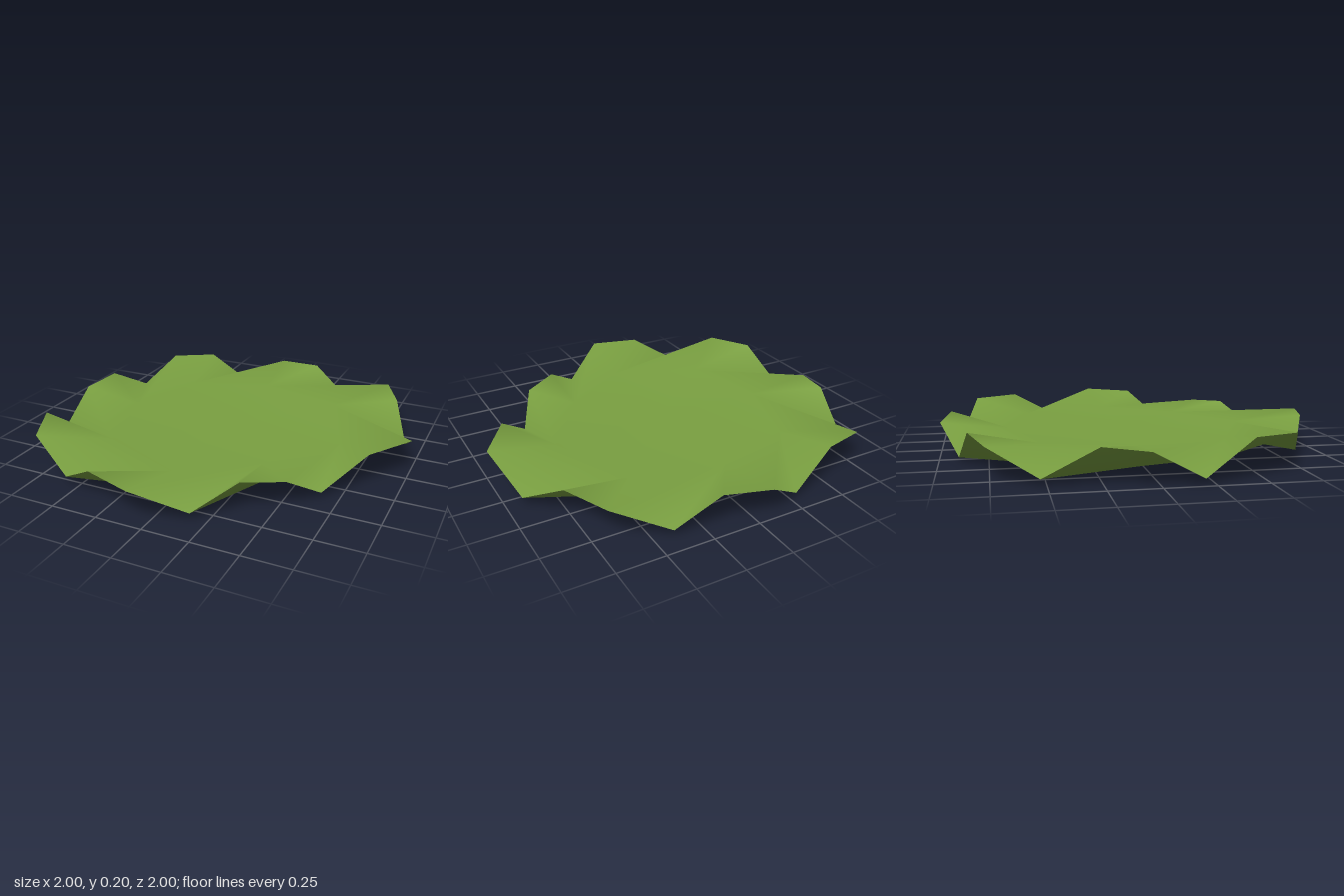
import * as THREE from 'three';

// Rim of the leaf, anticlockwise from above, in groups of three:
// corner (raised), dip (low), crest (raised)
const RIM = [
  [1.0, 0.19, -0.06], [0.92, 0.04, -0.32], [0.8, 0.19, -0.57],
  [0.69, 0.185, -0.81], [0.4, 0.03, -0.89], [0.18, 0.185, -0.95],
  [-0.07, 0.165, -1.0], [-0.29, 0.02, -0.9], [-0.53, 0.19, -0.85],
  [-0.78, 0.17, -0.77], [-0.88, 0.035, -0.53], [-0.95, 0.185, -0.27],
  [-1.0, 0.165, -0.05], [-0.98, 0.03, 0.2], [-0.93, 0.2, 0.45],
  [-0.81, 0.19, 0.7], [-0.56, 0.05, 0.8], [-0.33, 0.19, 0.92],
  [-0.07, 0.185, 1.0], [0.17, 0.04, 0.84], [0.36, 0.175, 0.69],
  [0.55, 0.16, 0.57], [0.66, 0.025, 0.37], [0.84, 0.19, 0.19],
];
const INNER = 0.63; // where the folds begin, as a share of the corner radius

// One skin of the leaf: 24 rim points, 8 inner points and a centre
function leafSkin(name, material, ringY, centreY, facesDown) {
  const n = RIM.length, sectors = n / 3, centre = n + sectors;
  const points = [...RIM];
  for (let i = 0; i < sectors; i++) {
    const [x, , z] = RIM[i * 3];
    points.push([x * INNER, ringY, z * INNER]);
  }
  points.push([-0.03, centreY, 0]);

  // Each sector: middle triangle, then folds fanning from the next inner point
  const faces = [];
  for (let i = 0; i < sectors; i++) {
    const corner = i * 3, dip = corner + 1, crest = corner + 2, next = (corner + 3) % n;
    const a = n + i, b = n + ((i + 1) % sectors);
    faces.push([centre, a, b], [a, corner, b], [b, corner, dip], [b, dip, crest], [b, crest, next]);
  }
  if (facesDown) faces.forEach((face) => face.reverse());

  const geometry = new THREE.BufferGeometry();
  geometry.setAttribute('position', new THREE.Float32BufferAttribute(points.flat(), 3));
  geometry.setIndex(faces.flat());
  geometry.computeVertexNormals();
  const mesh = new THREE.Mesh(geometry, material);
  mesh.name = name;
  return mesh;
}

export function createModel() {
  const group = new THREE.Group();
  group.name = 'leafPad';
  const leafGreen = new THREE.MeshStandardMaterial({ color: 0x7aa041 });
  leafGreen.name = 'leaf green';

  // Upper and lower skins meet along the wavy rim
  group.add(leafSkin('leafTop', leafGreen, 0.117, 0.11, false));
  group.add(leafSkin('leafUnderside', leafGreen, 0.015, 0, true));
  return group;
}
